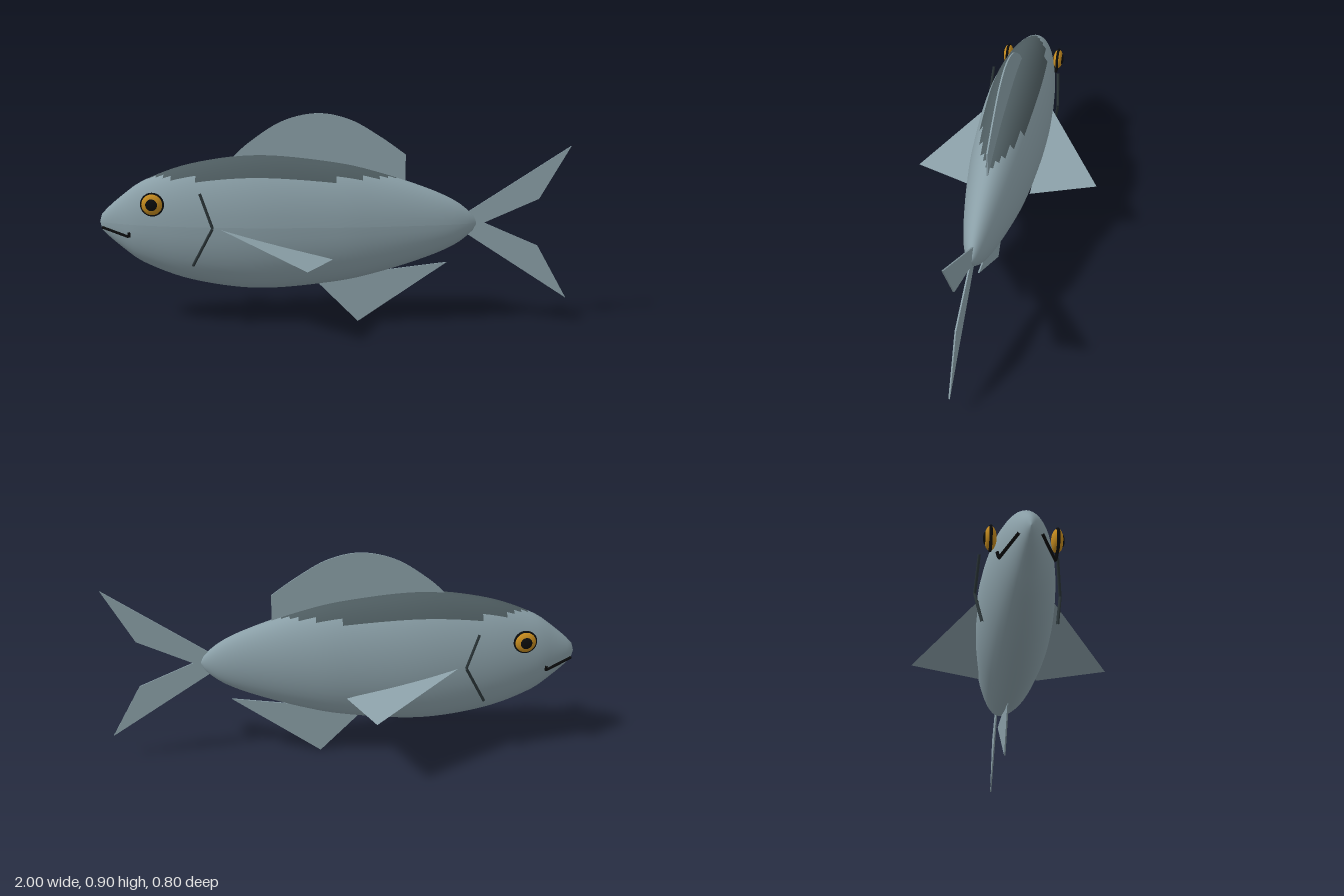
import * as THREE from 'three';

const material = (name, color, side = THREE.FrontSide) => {
  const m = new THREE.MeshStandardMaterial({ color, side });
  m.name = name;
  return m;
};

export function createModel() {
  const fish = new THREE.Group();
  fish.name = 'fish';
  const skin = material('silver skin', 0x8a9fa7);
  const finSkin = material('silver fin', 0x8a9fa7, THREE.DoubleSide);
  const back = material('dark back', 0x4d5b5f);
  const gillDark = material('gill slate', 0x2a3437);
  const amber = material('amber iris', 0xc48a1e);
  const black = material('black', 0x0a0b0c);

  const add = (name, geometry, mat, parent = fish) => {
    const mesh = new THREE.Mesh(geometry, mat);
    mesh.name = name;
    parent.add(mesh);
    return mesh;
  };

  // Body: turned profile (x, half height), flattened sideways
  const AXIS = 0.437, FLAT = 0.523;
  const profile = new THREE.SplineCurve([
    [0, -1], [0.04, -0.985], [0.115, -0.9], [0.182, -0.8], [0.252, -0.6], [0.287, -0.32],
    [0.258, 0], [0.213, 0.2], [0.147, 0.4], [0.092, 0.52], [0.035, 0.59], [0, 0.61],
  ].map(([r, x]) => new THREE.Vector2(r, x)));
  const outline = profile.getSpacedPoints(48);
  outline.forEach((p) => { p.x = Math.max(p.x, 0); });
  const body = new THREE.LatheGeometry(outline, 40);
  body.rotateZ(-Math.PI / 2);
  body.scale(1, 1, FLAT);
  body.translate(0, AXIS, 0);
  body.computeVertexNormals();

  // Faces high on the body take the dark back colour
  const pos = body.attributes.position, index = body.index.array;
  const light = [], dark = [];
  for (let i = 0; i < index.length; i += 6) {
    const quad = Array.from(index.slice(i, i + 6));
    const corners = [...new Set(quad)];
    const y = corners.reduce((sum, v) => sum + pos.getY(v), 0) / corners.length;
    (y > 0.632 ? dark : light).push(...quad);
  }
  body.setIndex([...light, ...dark]);
  body.clearGroups();
  body.addGroup(0, light.length, 0);
  body.addGroup(light.length, dark.length, 1);
  add('body', body, [skin, back]);

  // Thin upright fins on the centre line
  const plate = (name, shape) => {
    const g = new THREE.ExtrudeGeometry(shape, { depth: 0.006, bevelEnabled: false, curveSegments: 24 });
    g.translate(0, 0, -0.003);
    return add(name, g, finSkin);
  };
  const polygon = (points) => new THREE.Shape(points.map(([x, y]) => new THREE.Vector2(x, y)));

  const dorsal = new THREE.Shape();
  dorsal.moveTo(-0.44, 0.7);
  dorsal.splineThru([[-0.36, 0.775], [-0.22, 0.865], [-0.07, 0.9], [0.07, 0.873], [0.2, 0.8], [0.304, 0.727]]
    .map(([x, y]) => new THREE.Vector2(x, y)));
  dorsal.lineTo(0.304, 0.58);
  plate('dorsalFin', dorsal);
  plate('upperTailFin', polygon([[0.55, 0.47], [0.57, 0.41], [0.64, 0.437], [0.87, 0.54], [0.998, 0.765]]));
  plate('lowerTailFin', polygon([[0.57, 0.465], [0.55, 0.4], [0.998, 0.11], [0.87, 0.338], [0.64, 0.437]]));
  plate('analFin', polygon([[-0.08, 0.2], [-0.06, 0.165], [0.105, 0.002], [0.485, 0.265], [0.18, 0.225], [0.1, 0.24]]));

  // Straight round bars joining a list of points
  const bars = (name, points, radius, mat, parent) => {
    const path = new THREE.CurvePath();
    const v = points.map((p) => new THREE.Vector3(...p));
    for (let i = 1; i < v.length; i++) path.add(new THREE.LineCurve3(v[i - 1], v[i]));
    path.curves.forEach((line) => add(name, new THREE.TubeGeometry(line, 1, radius, 8), mat, parent));
  };

  // Paired parts on both sides of the body
  for (const s of [1, -1]) {
    const side = new THREE.Group();
    side.name = s > 0 ? 'rightSide' : 'leftSide';
    fish.add(side);

    // Pectoral fin swept out and back
    const fin = new THREE.BufferGeometry();
    fin.setAttribute('position', new THREE.Float32BufferAttribute([
      -0.47, 0.43, 0.14 * s, 0, 0.3, 0.12 * s, -0.095, 0.31, 0.4 * s,
    ], 3));
    fin.setIndex(s > 0 ? [0, 2, 1] : [0, 1, 2]);
    fin.computeVertexNormals();
    add('pectoralFin', fin, finSkin, side);

    bars('gillLine', [[-0.547, 0.58, 0.15 * s], [-0.495, 0.437, 0.163 * s], [-0.583, 0.275, 0.138 * s]],
      0.006, gillDark, side);
    bars('mouthLine', [[-0.98, 0.418, 0.038 * s], [-0.855, 0.388, 0.098 * s], [-0.855, 0.412, 0.104 * s]],
      0.006, black, side);

    // Eye: amber dome, dark rim and pupil
    const eye = new THREE.Group();
    eye.name = 'eye';
    eye.position.set(-0.75, 0.53, 0.121 * s);
    side.add(eye);
    add('iris', new THREE.SphereGeometry(0.045, 24, 16), amber, eye).scale.z = 0.5;
    add('eyeRim', new THREE.TorusGeometry(0.044, 0.006, 10, 32), black, eye);
    const pupil = add('pupil', new THREE.SphereGeometry(0.026, 20, 12), black, eye);
    pupil.scale.z = 0.45;
    pupil.position.z = 0.015 * s;
  }
  return fish;
}
